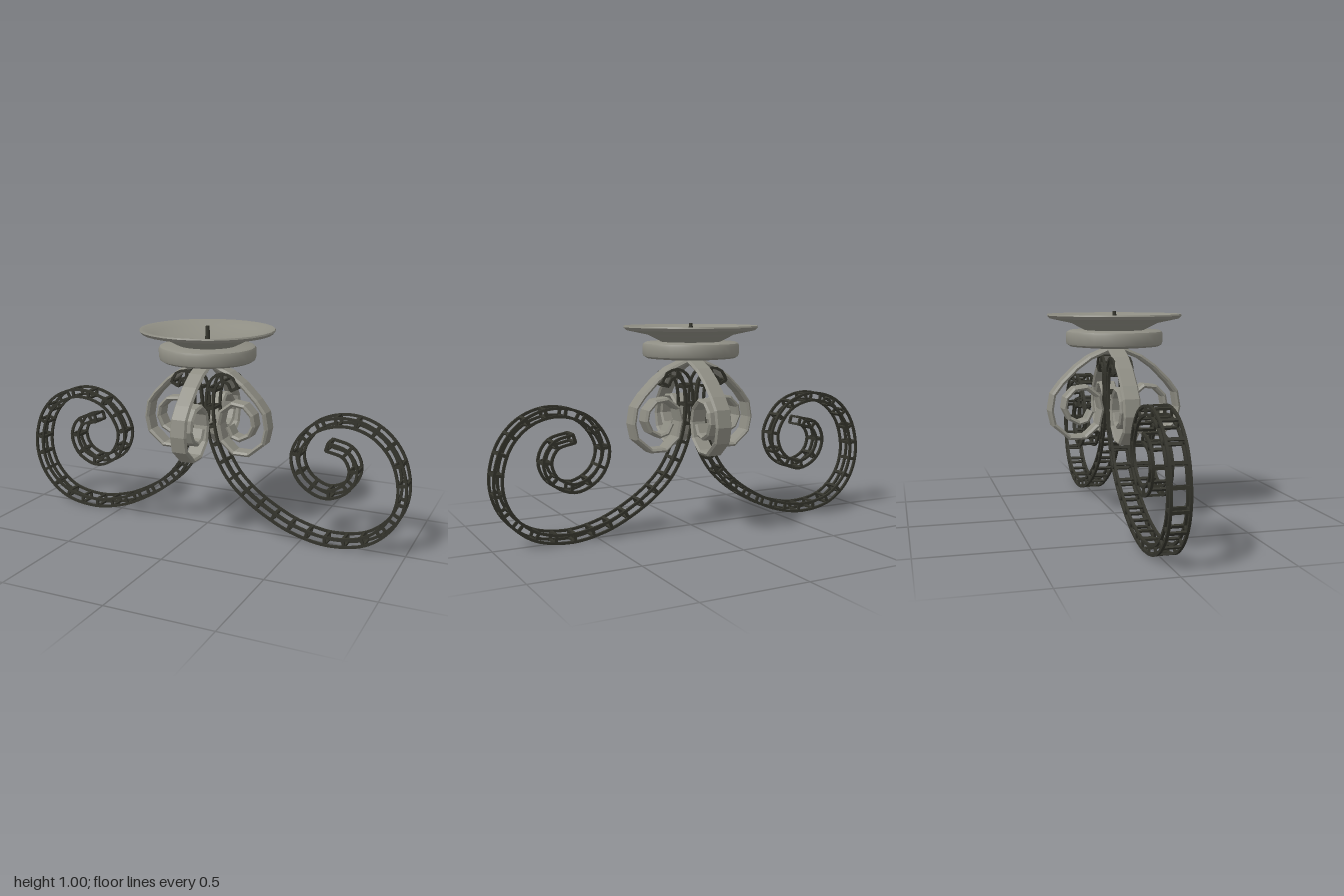
import * as THREE from 'three';
import { mergeGeometries, toCreasedNormals } from 'three/addons/utils/BufferGeometryUtils.js';

const vecs = (list) => list.map(([x, y]) => new THREE.Vector3(x, y, 0));

// Sweeps a closed profile of [normal, z] corners along a path lying in the xy plane.
function sweep(path, profile) {
  const pos = [], idx = [], n = profile.length, last = path.length - 1;
  path.forEach((p, i) => {
    const a = path[Math.max(i - 1, 0)], b = path[Math.min(i + 1, last)];
    const t = b.clone().sub(a).normalize();
    for (const [u, z] of profile) pos.push(p.x - t.y * u, p.y + t.x * u, z);
  });
  for (let i = 0; i < last; i++) {
    for (let j = 0; j < n; j++) {
      const a = i * n + j, b = i * n + (j + 1) % n;
      idx.push(a, b, a + n, b, b + n, a + n);
    }
  }
  for (let j = 1; j < n - 1; j++) {
    idx.push(0, j + 1, j);
    idx.push(last * n, last * n + j, last * n + j + 1);
  }
  const g = new THREE.BufferGeometry();
  g.setAttribute('position', new THREE.Float32BufferAttribute(pos, 3));
  g.setIndex(idx);
  g.computeVertexNormals();
  return g;
}

// Square bar profile centred on (u, z)
const square = (u, z, h) => [[u + h, z - h], [u + h, z + h], [u - h, z + h], [u - h, z - h]];

function lathe(points, segments) {
  const g = new THREE.LatheGeometry(points.map(([r, y]) => new THREE.Vector2(r, y)), segments);
  return toCreasedNormals(g, 0.6);
}

// Open lattice leg: four rails joined by rectangular hoops
function latticeLeg() {
  const curve = new THREE.CatmullRomCurve3(vecs([
    [0.157, 0.712], [0.138, 0.75], [0.09, 0.764], [0.05, 0.735], [0.032, 0.67], [0.032, 0.56],
    [0.06, 0.43], [0.135, 0.285], [0.23, 0.19], [0.36, 0.107], [0.48, 0.055], [0.645, 0.026],
    [0.82, 0.06], [0.935, 0.166], [0.975, 0.305], [0.935, 0.47], [0.834, 0.575], [0.695, 0.611],
    [0.55, 0.562], [0.468, 0.43], [0.505, 0.315], [0.615, 0.257], [0.715, 0.3], [0.748, 0.385],
    [0.71, 0.46], [0.62, 0.487],
  ]), false, 'centripetal');
  const path = curve.getSpacedPoints(140);
  const parts = [];
  const U = 0.019, Z = 0.041, H = 0.006;
  for (const u of [-U, U]) for (const z of [-Z, Z]) {
    parts.push(toCreasedNormals(sweep(path, square(u, z, H)), 0.6));
  }
  const hoops = 34;
  for (let i = 0; i <= hoops; i++) {
    const p = curve.getPointAt(i / hoops), t = curve.getTangentAt(i / hoops);
    const frame = new THREE.Matrix4().makeRotationZ(Math.atan2(t.y, t.x)).setPosition(p);
    for (const s of [-1, 1]) {
      const across = new THREE.BoxGeometry(0.014, 0.01, 2 * Z).translate(0, s * U, 0);
      const radial = new THREE.BoxGeometry(0.014, 2 * U, 0.01).translate(0, 0, s * Z);
      for (const g of [across, radial]) parts.push(g.applyMatrix4(frame).toNonIndexed());
    }
  }
  for (const g of parts) g.deleteAttribute('uv');
  return mergeGeometries(parts);
}

export function createModel() {
  const model = new THREE.Group();
  const pewter = new THREE.MeshStandardMaterial({ color: 0x8f8e84 });
  const pewterFlat = new THREE.MeshStandardMaterial({ color: 0x8f8e84, flatShading: true });
  const iron = new THREE.MeshStandardMaterial({ color: 0x33332b });
  const add = (name, geometry, material, turn = 0) => {
    const mesh = new THREE.Mesh(geometry, material);
    mesh.name = name;
    mesh.rotation.y = turn;
    model.add(mesh);
    return mesh;
  };

  // Two large lattice legs
  const leg = latticeLeg();
  add('leftLatticeLeg', leg, iron);
  add('rightLatticeLeg', leg, iron, Math.PI);

  // Four faceted ribbon scrolls under the cup
  const scrollPath = vecs([
    [0, 0.825], [0.045, 0.814], [0.125, 0.78], [0.192, 0.732], [0.265, 0.66], [0.306, 0.606],
    [0.319, 0.53], [0.304, 0.46], [0.228, 0.396], [0.152, 0.396], [0.088, 0.452], [0.071, 0.53],
    [0.086, 0.594], [0.142, 0.638], [0.203, 0.63], [0.244, 0.588], [0.253, 0.54], [0.229, 0.49],
    [0.182, 0.465], [0.143, 0.477], [0.12, 0.522],
  ]);
  const ribbon = [[0.011, -0.034], [0.011, 0.034], [0, 0.042], [-0.011, 0.034], [-0.011, -0.034], [0, -0.042]];
  const scroll = sweep(scrollPath, ribbon);
  ['leftScroll', 'backScroll', 'rightScroll', 'frontScroll'].forEach((name, i) =>
    add(name, scroll, pewterFlat, i * Math.PI / 2));

  // Rounded cup beneath the dish
  add('cup', lathe([[0, 0.828], [0.15, 0.828], [0.215, 0.834], [0.23, 0.843], [0.234, 0.855], [0.234, 0.893],
    [0.229, 0.904], [0.215, 0.911], [0, 0.911]], 28), pewter);

  // Shallow dish with a thin rim
  add('dish', lathe([[0, 0.908], [0.137, 0.908], [0.21, 0.945], [0.312, 0.967], [0.325, 0.981], [0.322, 0.988],
    [0.305, 0.986], [0.26, 0.965], [0.2, 0.947], [0.12, 0.932], [0, 0.926]], 28), pewter);

  // Candle spike
  add('spike', new THREE.CylinderGeometry(0.009, 0.013, 0.08, 10), iron).position.y = 0.96;

  return model;
}
